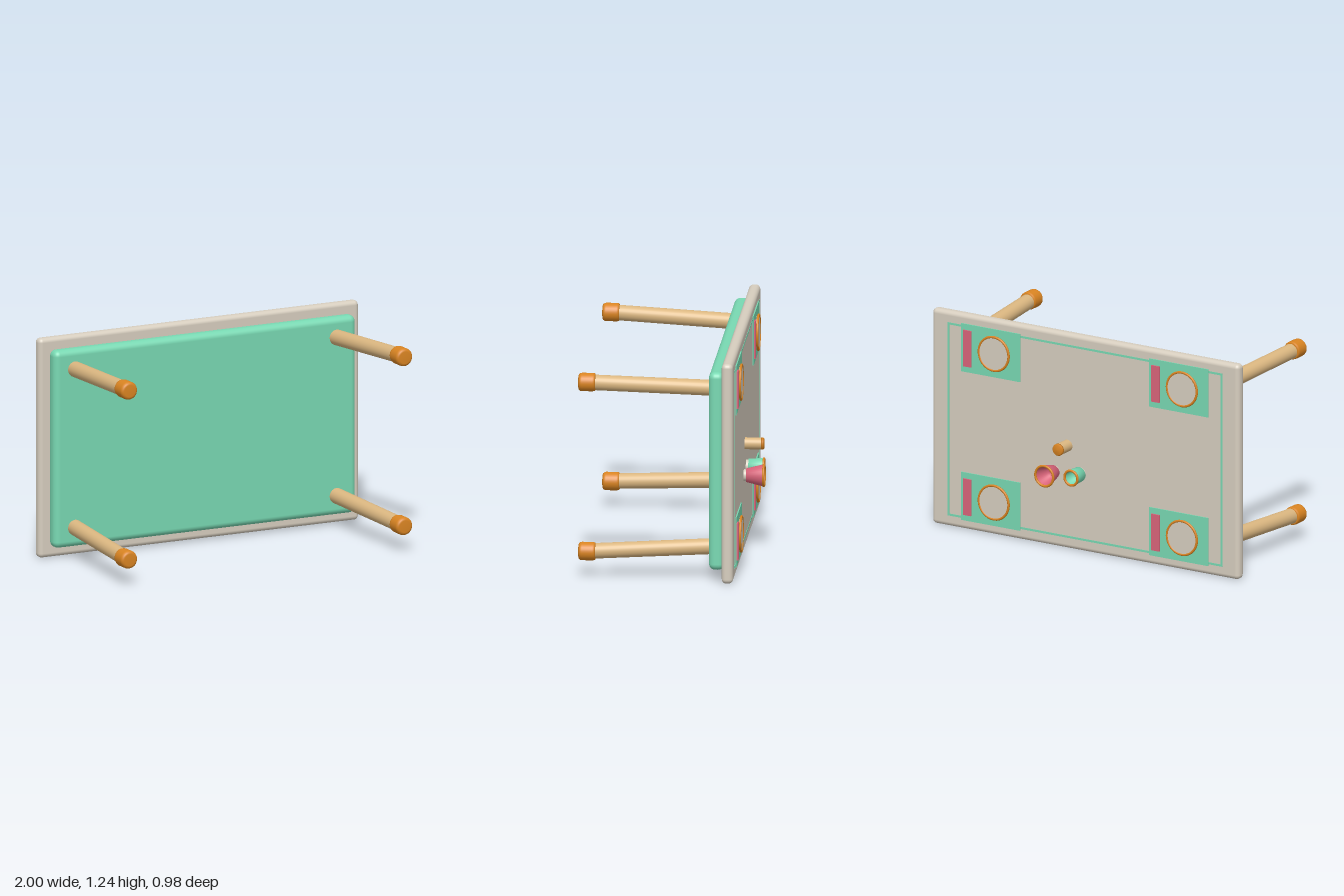
import * as THREE from 'three';
import { RoundedBoxGeometry } from 'three/addons/geometries/RoundedBoxGeometry.js';

const paint = (name, color) => {
  const m = new THREE.MeshStandardMaterial({ color });
  m.name = name;
  return m;
};

export function createModel() {
  const cream = paint('cream', 0xd6cdbe);
  const mint = paint('mint', 0x78d8b2);
  const wood = paint('wood', 0xdab680);
  const orange = paint('orange', 0xd98422);
  const pink = paint('pink', 0xd9647a);

  const model = new THREE.Group();
  model.name = 'diningTable';
  // The table is built upright, then tipped so its top faces the back.
  const table = new THREE.Group();
  table.name = 'table';
  table.rotation.x = -Math.PI / 2;
  table.position.y = 0.624;
  model.add(table);

  const add = (parent, name, geometry, material, x = 0, y = 0, z = 0) => {
    const mesh = new THREE.Mesh(geometry, material);
    mesh.name = name;
    mesh.position.set(x, y, z);
    parent.add(mesh);
    return mesh;
  };
  const group = (name, x, y, z) => {
    const g = new THREE.Group();
    g.name = name;
    g.position.set(x, y, z);
    table.add(g);
    return g;
  };
  const lathe = (points) =>
    new THREE.LatheGeometry(points.map(([r, y]) => new THREE.Vector2(r, y)), 32);
  const ring = (radius, tube) =>
    new THREE.TorusGeometry(radius, tube, 10, 36).rotateX(Math.PI / 2);

  const top = 0.372;

  // Table top and apron
  add(table, 'tableTop', new RoundedBoxGeometry(2, 0.062, 1.244, 5, 0.025), cream, 0, 0.341, 0);
  add(table, 'apron', new RoundedBoxGeometry(1.886, 0.085, 1.12, 5, 0.035), mint, 0, 0.2765, 0);

  // Splayed legs with rounded feet
  const up = new THREE.Vector3(0, 1, 0);
  const footProfile = [[0, -0.492], [0.034, -0.492], [0.043, -0.489], [0.049, -0.482],
    [0.051, -0.472], [0.051, -0.412], [0.049, -0.402], [0.043, -0.397], [0, -0.397]];
  for (const sx of [1, -1]) {
    for (const sz of [1, -1]) {
      const side = (sz > 0 ? 'upper' : 'lower') + (sx > 0 ? 'Left' : 'Right');
      const head = new THREE.Vector3(sx * 0.816, 0.26, sz * 0.448);
      const end = new THREE.Vector3(sx * 0.859, -0.42, sz * 0.478);
      const axis = head.clone().sub(end);
      const mid = head.clone().add(end).multiplyScalar(0.5);
      const leg = add(table, side + 'Leg', new THREE.CylinderGeometry(0.044, 0.043, axis.length(), 28),
        wood, mid.x, mid.y, mid.z);
      leg.quaternion.setFromUnitVectors(up, axis.normalize());
      add(table, side + 'Foot', lathe(footProfile), orange, sx * 0.86, 0, sz * 0.479);
    }
  }

  // Thin inlaid border on the table top
  for (const s of [1, -1]) {
    add(table, 'borderLong', new THREE.BoxGeometry(1.79, 0.004, 0.012), mint, 0, top, s * 0.553);
    add(table, 'borderShort', new THREE.BoxGeometry(0.012, 0.004, 1.106), mint, s * 0.89, top, 0);
  }

  // Four place settings, all facing the same way
  for (const x of [0.613, -0.613]) {
    for (const z of [0.43, -0.43]) {
      const setting = group('placeSetting', x, top, z);
      add(setting, 'mat', new THREE.BoxGeometry(0.385, 0.006, 0.278), mint, 0, 0.003, 0);
      add(setting, 'napkin', new THREE.BoxGeometry(0.053, 0.01, 0.21), pink, 0.148, 0.01, 0);
      add(setting, 'plate', new THREE.CylinderGeometry(0.099, 0.09, 0.014, 40), cream, -0.028, 0.012, 0);
      add(setting, 'plateRim', ring(0.097, 0.007), orange, -0.028, 0.016, 0);
    }
  }

  // Hollow cups on small feet
  const cup = (name, x, z, material, base, rim, height) => {
    const g = group(name, x, top, z);
    add(g, 'cupFoot', new THREE.CylinderGeometry(base * 0.85, base * 0.85, 0.018, 28), cream, 0, 0.009, 0);
    const wall = 0.008;
    add(g, 'cupBody', lathe([[0, 0.014], [base, 0.014], [rim, height], [rim - wall, height],
      [base - wall, 0.026], [0, 0.026]]), material);
    add(g, 'cupRim', ring(rim - wall / 2, 0.007), orange, 0, height, 0);
  };
  cup('mintCup', 0.03, -0.174, mint, 0.042, 0.046, 0.098);
  cup('pinkCup', 0.196, -0.187, pink, 0.038, 0.062, 0.111);

  // Wooden shaker with a cap
  const shaker = group('shaker', 0.115, top, -0.025);
  add(shaker, 'shakerBody', new THREE.CylinderGeometry(0.033, 0.033, 0.092, 28), wood, 0, 0.046, 0);
  add(shaker, 'shakerCap', lathe([[0, 0.09], [0.034, 0.09], [0.034, 0.1], [0.028, 0.107], [0, 0.109]]), orange);

  return model;
}
